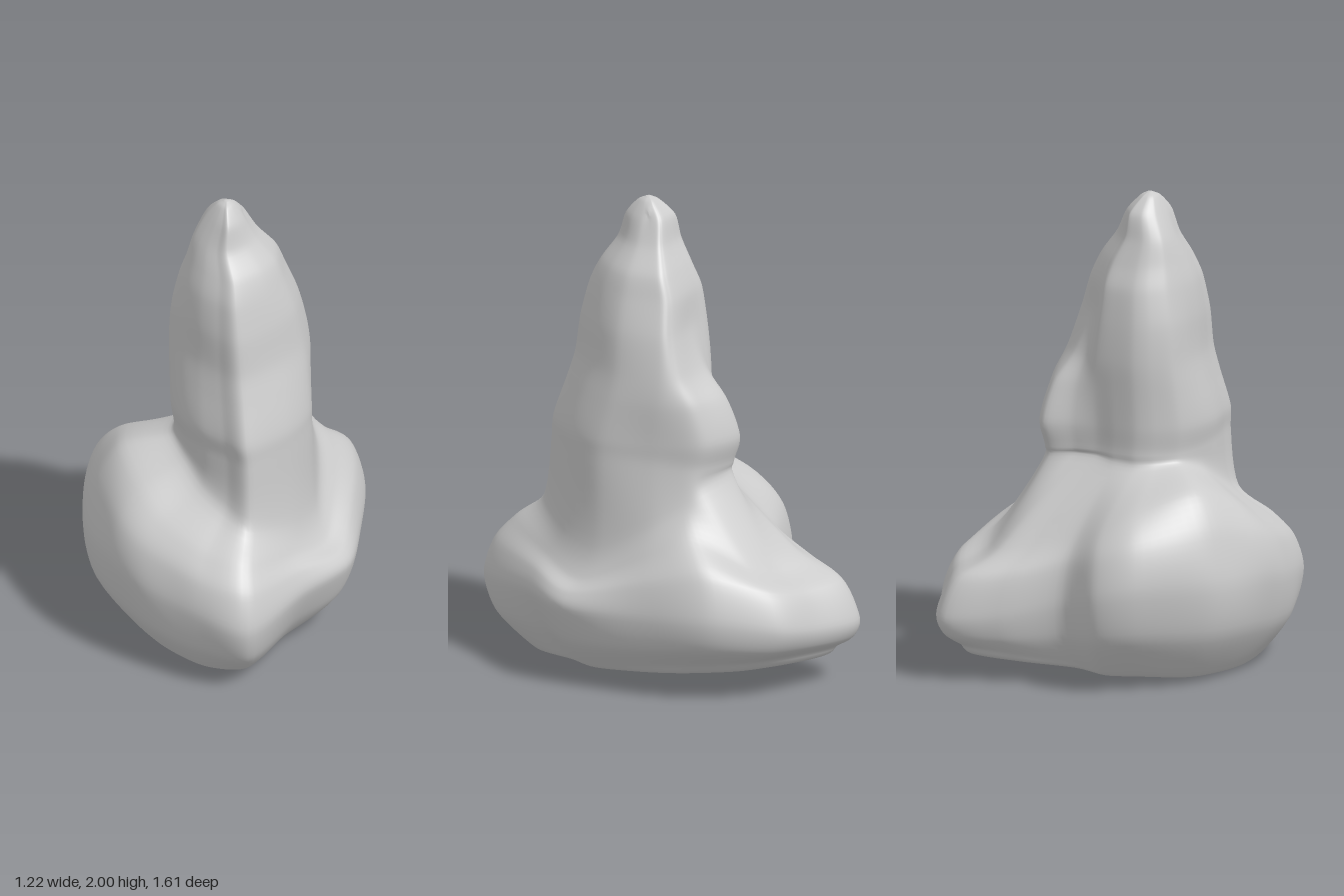
import * as THREE from 'three';

const lerp = THREE.MathUtils.lerp;
const V = (x, y, z) => new THREE.Vector3(x, y, z);
const CX = 0.04, CZ = 0.1;

// Smooth skin through closed loops of control points, listed bottom to top.
function loft(name, loops, around, up, material) {
  const rings = loops.map((pts) => {
    const c = new THREE.CatmullRomCurve3(pts, true, 'catmullrom', 0.4);
    return Array.from({ length: around }, (_, j) => c.getPoint(j / around));
  });
  const rows = (loops.length - 1) * up + 1;
  const columns = [];
  for (let j = 0; j < around; j++) {
    const c = new THREE.CatmullRomCurve3(rings.map((r) => r[j]), false, 'catmullrom', 0.42);
    columns.push(Array.from({ length: rows }, (_, i) => c.getPoint(i / (rows - 1))));
  }
  const pos = [], index = [];
  for (let i = 0; i < rows; i++) {
    for (let j = 0; j < around; j++) {
      const p = columns[j][i];
      // gentle weathering
      const w = 0.006 * Math.sin(9 * p.y + 7 * p.x) * Math.sin(11 * p.z + 5 * p.x);
      const a = Math.atan2(p.z - CZ, p.x - CX);
      pos.push(p.x + w * Math.cos(a), p.y, p.z + w * Math.sin(a));
      if (i < rows - 1) {
        const k = (j + 1) % around, a0 = i * around, b0 = a0 + around;
        index.push(a0 + j, a0 + k, b0 + j, a0 + k, b0 + k, b0 + j);
      }
    }
  }
  // close both ends with a centre point
  for (const [row, flip] of [[0, true], [rows - 1, false]]) {
    const centre = V(0, 0, 0);
    columns.forEach((c) => centre.addScaledVector(c[row], 1 / around));
    const n = pos.length / 3;
    pos.push(centre.x, centre.y, centre.z);
    for (let j = 0; j < around; j++) {
      const a = row * around + j, b = row * around + (j + 1) % around;
      index.push(...(flip ? [n, b, a] : [n, a, b]));
    }
  }
  const g = new THREE.BufferGeometry();
  g.setAttribute('position', new THREE.Float32BufferAttribute(pos, 3));
  g.setIndex(index);
  g.computeVertexNormals();
  const mesh = new THREE.Mesh(g, material);
  mesh.name = name;
  return mesh;
}

// Base boulder, one row per direction:
// rim x, rim z, rim y, bottom reach, belly fullness, shoulder reach, shoulder y, foot y
const BASE = [
  [0.57, 0.0, 0.36, 0.66, 0.84, 0.76, 0.6, 0.7],
  [0.61, -0.25, 0.37, 0.67, 0.84, 0.71, 0.67, 0.78],
  [0.53, -0.52, 0.32, 0.74, 0.83, 0.74, 0.57, 0.83],
  [0.37, -0.67, 0.29, 0.82, 0.83, 0.73, 0.53, 0.86],
  [0.16, -0.8, 0.28, 0.87, 0.83, 0.71, 0.54, 0.87],
  [-0.02, -0.65, 0.3, 0.86, 0.83, 0.74, 0.57, 0.87],
  [-0.2, -0.45, 0.36, 0.84, 0.83, 0.8, 0.63, 0.86],
  [-0.41, -0.43, 0.42, 0.75, 0.83, 0.78, 0.69, 0.86],
  [-0.53, -0.3, 0.45, 0.66, 0.83, 0.78, 0.75, 0.87],
  [-0.61, 0.02, 0.45, 0.64, 0.83, 0.76, 0.82, 0.88],
  [-0.56, 0.3, 0.44, 0.65, 0.83, 0.78, 0.75, 0.84],
  [-0.46, 0.49, 0.4, 0.68, 0.83, 0.8, 0.66, 0.77],
  [-0.27, 0.69, 0.36, 0.7, 0.83, 0.82, 0.59, 0.72],
  [-0.07, 0.8, 0.32, 0.65, 0.78, 0.82, 0.57, 0.68],
  [0.2, 0.59, 0.34, 0.6, 0.64, 0.83, 0.5, 0.61],
  [0.44, 0.39, 0.34, 0.62, 0.72, 0.78, 0.45, 0.58],
];
const floorY = (x, z) => Math.max(0, 0.045 + 0.06 * x - 0.075 * z);

function baseLoops() {
  const at = (r, f, y) => {
    const x = lerp(CX, r[0], f), z = lerp(CZ, r[1], f);
    return V(x, y === undefined ? floorY(x, z) : y, z);
  };
  return [
    BASE.map((r) => at(r, r[3] * 0.5)),
    BASE.map((r) => at(r, r[3] * 0.95)),
    BASE.map((r) => at(r, lerp(r[3], 1, 0.3 * r[4]), floorY(r[0], r[1]) + 0.035)),
    BASE.map((r) => at(r, lerp(r[3], 1, r[4]), lerp(floorY(r[0], r[1]), r[2], 0.5))),
    BASE.map((r) => at(r, 1, r[2])),
    BASE.map((r) => at(r, lerp(r[5], 1, 0.7), lerp(r[2], r[6], 0.6))),
    BASE.map((r) => at(r, r[5], r[6])),
  ];
}

// Spire section in a unit box, in the same directions as the base:
// x, z, then the x and z shift of the low bulge at the back
const SECTION = [
  [1, 0.29, 0, 0], [0.95, 0.2, 0.05, -0.15], [0.86, 0.15, 0.08, -0.22], [0.69, 0.09, 0.01, -0.32],
  [0.55, 0.04, 0, -0.13], [0.42, 0, 0, 0], [0.27, 0.05, 0, 0], [0.13, 0.12, 0, 0],
  [0.05, 0.22, 0, 0], [0, 0.38, 0, 0], [0.05, 0.57, 0, 0], [0.14, 0.74, 0, 0],
  [0.26, 0.88, 0, 0], [0.4, 1, 0, 0], [0.72, 0.84, 0, 0], [0.92, 0.62, 0, 0],
];
const SPIRE = [
  // y, x min, x max, z min, z max, bulge
  [0.93, -0.245, 0.34, -0.15, 0.515, 0.88],
  [1.04, -0.26, 0.34, -0.15, 0.505, 1],
  [1.2, -0.26, 0.34, -0.15, 0.445, 0.76],
  [1.32, -0.255, 0.325, -0.15, 0.41, 0.3],
  [1.48, -0.245, 0.29, -0.14, 0.395, 0],
  [1.62, -0.22, 0.24, -0.12, 0.36, 0],
  [1.72, -0.19, 0.2, -0.075, 0.31, 0],
  [1.82, -0.16, 0.12, -0.025, 0.24, 0],
  [1.92, -0.11, 0.06, 0.0, 0.21, 0],
  [1.98, -0.07, 0.01, 0.06, 0.16, 0],
  [2.0, -0.04, -0.02, 0.1, 0.12, 0],
];
const FOOT = [0, -0.27, 0.37, -0.17, 0.545, 0.78];

function section([y, x0, x1, z0, z1, bulge], heights) {
  return SECTION.map(([u, v, du, dv], i) => V(
    lerp(x0, x1, u + du * bulge), heights ? heights[i] : y, lerp(z0, z1, v + dv * bulge)));
}

export function createModel() {
  const group = new THREE.Group();
  group.name = 'rockSpire';
  const stone = new THREE.MeshStandardMaterial({ color: 0xcccccc, roughness: 0.9 });
  // boulder, foot of the spire and spire form one continuous skin
  const loops = [
    ...baseLoops(),
    section(FOOT, BASE.map((r) => r[7])),
    ...SPIRE.map((s) => section(s)),
  ];
  group.add(loft('rock', loops, 112, 6, stone));
  return group;
}
